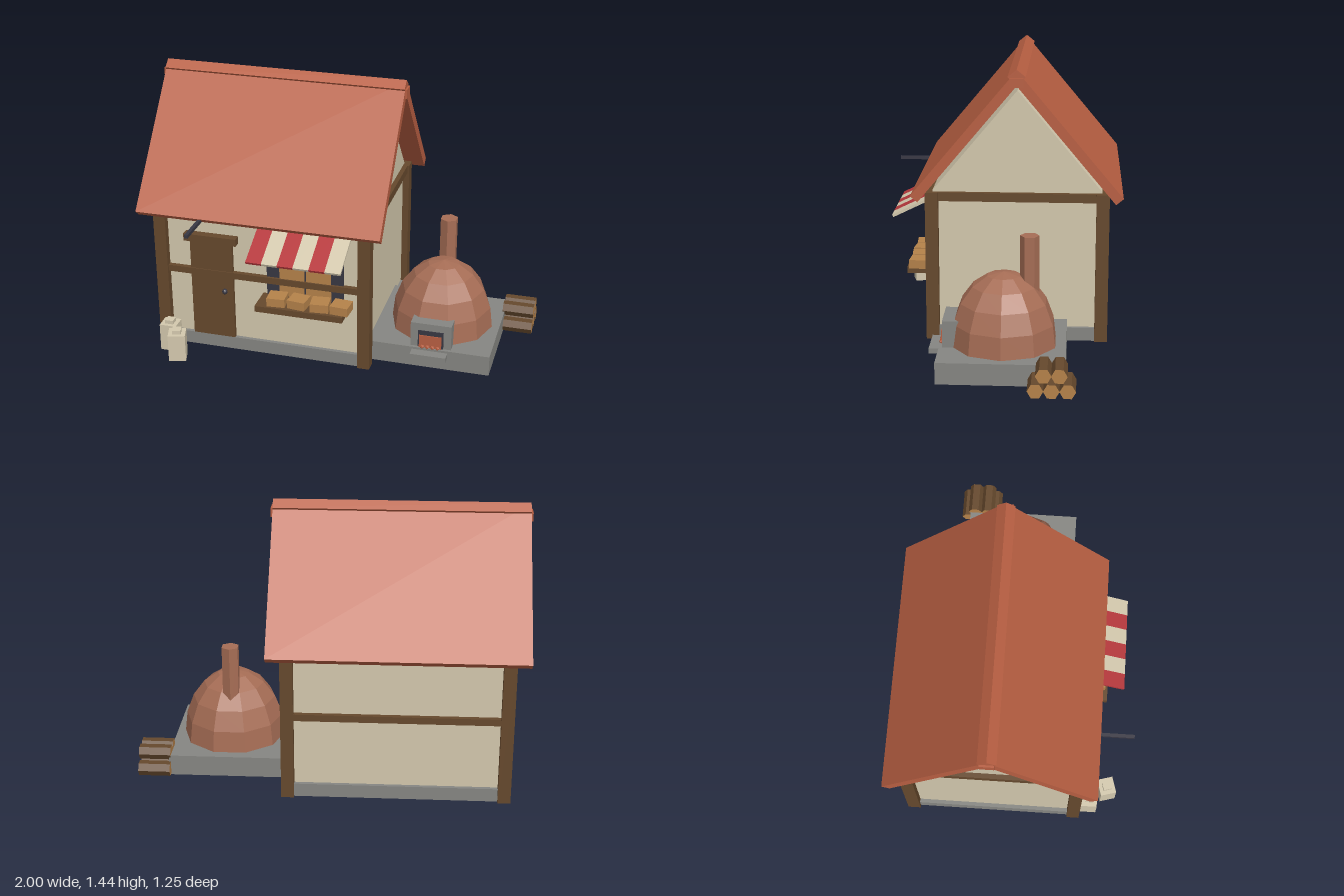
import * as THREE from 'three';

const mat = (name, color) => {
  const m = new THREE.MeshStandardMaterial({ color, flatShading: true });
  m.name = name;
  return m;
};

export function createModel() {
  const plaster = mat('cream plaster', 0xd3c8ad);
  const tile = mat('roof terracotta', 0xb85f42);
  const timber = mat('dark timber', 0x66492d);
  const stone = mat('grey stone', 0x868682);
  const clay = mat('oven clay', 0xa66d55);
  const crust = mat('golden wood', 0xb5824a);
  const iron = mat('dark iron', 0x383743);
  const red = mat('awning red', 0xb5373b);

  const model = new THREE.Group();
  model.name = 'bakery';
  const add = (name, geo, material, x = 0, y = 0, z = 0, parent = model) => {
    const mesh = new THREE.Mesh(geo, material);
    mesh.name = name;
    mesh.position.set(x, y, z);
    parent.add(mesh);
    return mesh;
  };
  // Box given by its min and max on each axis
  const box = (name, material, x0, x1, y0, y1, z0, z1) =>
    add(name, new THREE.BoxGeometry(x1 - x0, y1 - y0, z1 - z0), material,
      (x0 + x1) / 2, (y0 + y1) / 2, (z0 + z1) / 2);
  // Profile of [z, y] points extruded along x
  const prism = (name, material, pts, x0, x1) => {
    const shape = new THREE.Shape(pts.map(([z, y]) => new THREE.Vector2(-z, y)));
    const geo = new THREE.ExtrudeGeometry(shape, { depth: x1 - x0, bevelEnabled: false });
    geo.rotateY(Math.PI / 2);
    return add(name, geo, material, x0, 0, 0);
  };

  const midZ = -0.085;

  // Foundation and gabled walls
  box('foundation', stone, -0.91, 0.22, 0, 0.07, -0.54, 0.37);
  prism('walls', plaster, [[0.35, 0.06], [0.35, 0.797], [midZ, 1.318], [-0.52, 0.797], [-0.52, 0.06]], -0.89, 0.2);

  // Timber frame
  for (const x of [-0.925, 0.17]) {
    for (const z of [-0.557, 0.32]) box('cornerPost', timber, x, x + 0.065, 0, 0.79, z, z + 0.067);
  }
  for (const z of [-0.545, 0.335]) {
    box('wallPlate', timber, -0.9, 0.21, 0.745, 0.79, z, z + 0.04);
    box('midRail', timber, -0.87, 0.18, 0.425, 0.46, z, z + 0.04);
  }
  for (const x of [-0.915, 0.185]) box('gableBeam', timber, x, x + 0.04, 0.745, 0.79, -0.545, 0.375);

  // Roof slopes, ridge beam and cap
  for (const s of [-1, 1]) {
    prism('roofSlope', tile, [[midZ, 1.357], [midZ + s * 0.502, 0.757], [midZ + s * 0.54, 0.789], [midZ, 1.434]], -0.99, 0.3);
  }
  box('ridgeBeam', tile, -1, 0.31, 1.35, 1.397, midZ - 0.035, midZ + 0.035);
  prism('ridgeCap', tile, [[midZ - 0.045, 1.402], [midZ - 0.03, 1.385], [midZ + 0.03, 1.385], [midZ + 0.045, 1.402], [midZ, 1.438]], -0.99, 0.3);

  // Door
  box('door', timber, -0.735, -0.505, 0.07, 0.617, 0.34, 0.37);
  box('doorLintel', timber, -0.76, -0.475, 0.625, 0.665, 0.34, 0.393);
  add('doorKnob', new THREE.SphereGeometry(0.015, 8, 6), iron, -0.55, 0.345, 0.377);

  // Shop window with two panes, counter and loaves
  box('windowFrame', iron, -0.32, 0.09, 0.35, 0.605, 0.34, 0.362);
  for (const x of [-0.25, -0.107]) box('windowPane', crust, x, x + 0.133, 0.36, 0.55, 0.36, 0.368);
  box('counter', timber, -0.345, 0.12, 0.322, 0.355, 0.345, 0.498);
  [[-0.24, 0.06], [-0.125, -0.12], [-0.01, 0.1], [0.1, -0.08]].forEach(([x, turn]) => {
    add('loaf', new THREE.BoxGeometry(0.095, 0.046, 0.09), crust, x, 0.378, 0.437).rotation.y = turn;
  });

  // Striped awning
  const awning = new THREE.Group();
  awning.name = 'awning';
  awning.position.set(-0.36, 0.69, 0.458);
  awning.rotation.x = 0.455;
  model.add(awning);
  for (let i = 0; i < 6; i++) {
    add('awningStripe', new THREE.BoxGeometry(0.082, 0.014, 0.245), i % 2 ? plaster : red, 0.041 + i * 0.082, 0, 0, awning);
  }

  // Sign bracket
  box('signBracket', iron, -0.657, -0.639, 0.762, 0.78, 0.34, 0.625);

  // Flour sacks
  for (const [x, z, turn] of [[-0.77, 0.528, 0.28], [-0.843, 0.436, 0]]) {
    const sack = new THREE.Group();
    sack.name = 'flourSack';
    sack.position.set(x, 0, z);
    sack.rotation.y = turn;
    model.add(sack);
    add('sackBody', new THREE.BoxGeometry(0.09, 0.15, 0.085), plaster, 0, 0.075, 0, sack);
    add('sackKnot', new THREE.BoxGeometry(0.045, 0.03, 0.045), plaster, 0, 0.155, 0, sack);
  }

  // Domed oven on a stone plinth
  box('ovenPlinth', stone, 0.2, 0.845, 0, 0.11, -0.348, 0.28);
  const dome = new THREE.SphereGeometry(0.272, 10, 5, 0, Math.PI * 2, 0, Math.PI / 2);
  dome.scale(1, 0.367 / 0.272, 1);
  add('ovenDome', dome, clay, 0.533, 0.108, -0.035);
  add('ovenChimney', new THREE.CylinderGeometry(0.048, 0.048, 0.36, 6), clay, 0.53, 0.48, -0.163);

  // Oven mouth
  box('mouthSurround', stone, 0.425, 0.64, 0.1, 0.246, 0.17, 0.263);
  box('mouthOpening', iron, 0.465, 0.6, 0.11, 0.206, 0.26, 0.267);
  box('fire', tile, 0.472, 0.59, 0.11, 0.18, 0.265, 0.272);
  for (let i = 0; i < 4; i++) {
    add('ember', new THREE.IcosahedronGeometry(0.012, 0), tile, 0.49 + i * 0.027, 0.115, 0.273);
  }
  box('ovenSill', stone, 0.437, 0.625, 0.07, 0.098, 0.27, 0.332);

  // Log pile
  for (const [z, y] of [[-0.207, 0.041], [-0.283, 0.041], [-0.36, 0.041], [-0.245, 0.117], [-0.32, 0.117]]) {
    add('log', new THREE.CylinderGeometry(0.039, 0.039, 0.165, 6), [timber, crust, crust], 0.9175, y, z).rotation.z = Math.PI / 2;
  }

  return model;
}
